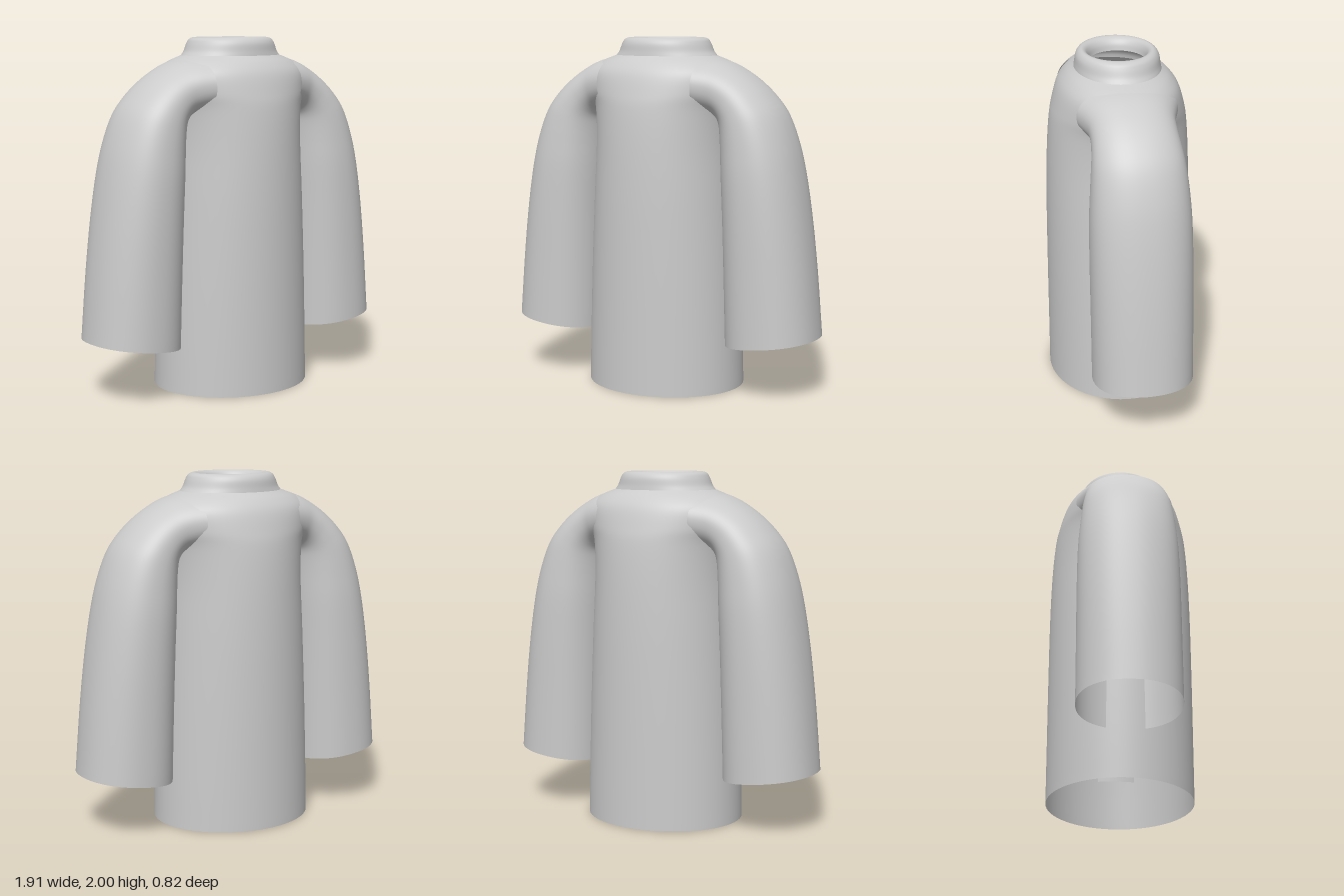
import * as THREE from 'three';

const material = new THREE.MeshStandardMaterial({ color: 0xcccccc, side: THREE.DoubleSide });

// Smooth tube through cross-sections, listed bottom first.
// Each row: outer point x, y, inner point x, y, half depth in z.
// side = -1 turns the tube round to the other side; skip(x, y, z) leaves a hole.
function loft(name, rows, { side = 1, power = 2, zOffset = 0, steps = 5, around = 64, skip } = {}) {
  const curve = pts => new THREE.CatmullRomCurve3(pts, false, 'catmullrom', 0.5);
  const outer = curve(rows.map(r => new THREE.Vector3(r[0], r[1], r[4])));
  const inner = curve(rows.map(r => new THREE.Vector3(r[2], r[3], 0)));
  const count = (rows.length - 1) * steps;
  const pos = [], index = [];
  const round = v => Math.sign(v) * Math.abs(v) ** (2 / power);

  for (let i = 0; i <= count; i++) {
    const o = outer.getPoint(i / count), n = inner.getPoint(i / count);
    for (let j = 0; j < around; j++) {
      const a = (j / around) * Math.PI * 2;
      const k = (1 + round(Math.cos(a))) / 2;
      pos.push(
        side * (n.x + (o.x - n.x) * k),
        n.y + (o.y - n.y) * k,
        side * o.z * round(Math.sin(a)) + zOffset
      );
    }
  }
  for (let i = 0; i < count; i++) {
    for (let j = 0; j < around; j++) {
      const a = i * around + j, b = i * around + (j + 1) % around;
      if (skip && skip(pos[a * 3], pos[a * 3 + 1], pos[a * 3 + 2])) continue;
      index.push(a, a + around, b, b, a + around, b + around);
    }
  }
  const geometry = new THREE.BufferGeometry();
  geometry.setAttribute('position', new THREE.Float32BufferAttribute(pos, 3));
  geometry.setIndex(index);
  geometry.computeVertexNormals();
  const mesh = new THREE.Mesh(geometry, material);
  mesh.name = name;
  return mesh;
}

// Centred oval section
const oval = ([y, width, depth]) => [width, y, -width, y, depth];

export function createModel() {
  const garment = new THREE.Group();
  garment.name = 'longSleevedGarment';

  // Body: open hem up to the base of the neck, with armholes inside the sleeves
  const body = [
    [0, 0.463, 0.41], [0.3, 0.455, 0.41], [0.7, 0.44, 0.41], [1.1, 0.42, 0.408],
    [1.4, 0.405, 0.4], [1.6, 0.415, 0.385], [1.7, 0.45, 0.365], [1.8, 0.46, 0.333],
    [1.86, 0.4, 0.29], [1.9, 0.3, 0.24]
  ].map(oval);
  garment.add(loft('body', body, {
    skip: (x, y, z) => y > 1.6 && y < 1.78 && Math.abs(x) > 0.38 && Math.abs(z) < 0.17
  }));

  // Collar: short stand-up neck rolled over to the inside
  const collar = [
    [1.9, 0.3, 0.24], [1.925, 0.28, 0.236], [1.965, 0.262, 0.23], [1.99, 0.245, 0.215],
    [2.0, 0.215, 0.195], [1.99, 0.185, 0.175], [1.965, 0.165, 0.162], [1.93, 0.156, 0.155]
  ].map(oval);
  garment.add(loft('collar', collar));

  // Sleeves: slanted cuff, straight arm, then bending over the shoulder into the body
  const sleeve = [
    [0.955, 0.345, 0.425, 0.28, 0.28], [0.922, 0.7, 0.415, 0.66, 0.28],
    [0.885, 1.0, 0.405, 1.0, 0.28], [0.843, 1.25, 0.395, 1.25, 0.276],
    [0.798, 1.43, 0.39, 1.4, 0.265], [0.735, 1.585, 0.385, 1.49, 0.253],
    [0.655, 1.69, 0.38, 1.53, 0.243], [0.56, 1.775, 0.37, 1.55, 0.236],
    [0.46, 1.838, 0.36, 1.56, 0.238], [0.38, 1.872, 0.335, 1.57, 0.255],
    [0.3, 1.89, 0.29, 1.58, 0.28]
  ];
  for (const [name, side] of [['leftSleeve', 1], ['rightSleeve', -1]]) {
    garment.add(loft(name, sleeve, { side, power: 2.2, zOffset: 0.007 }));
  }
  return garment;
}
